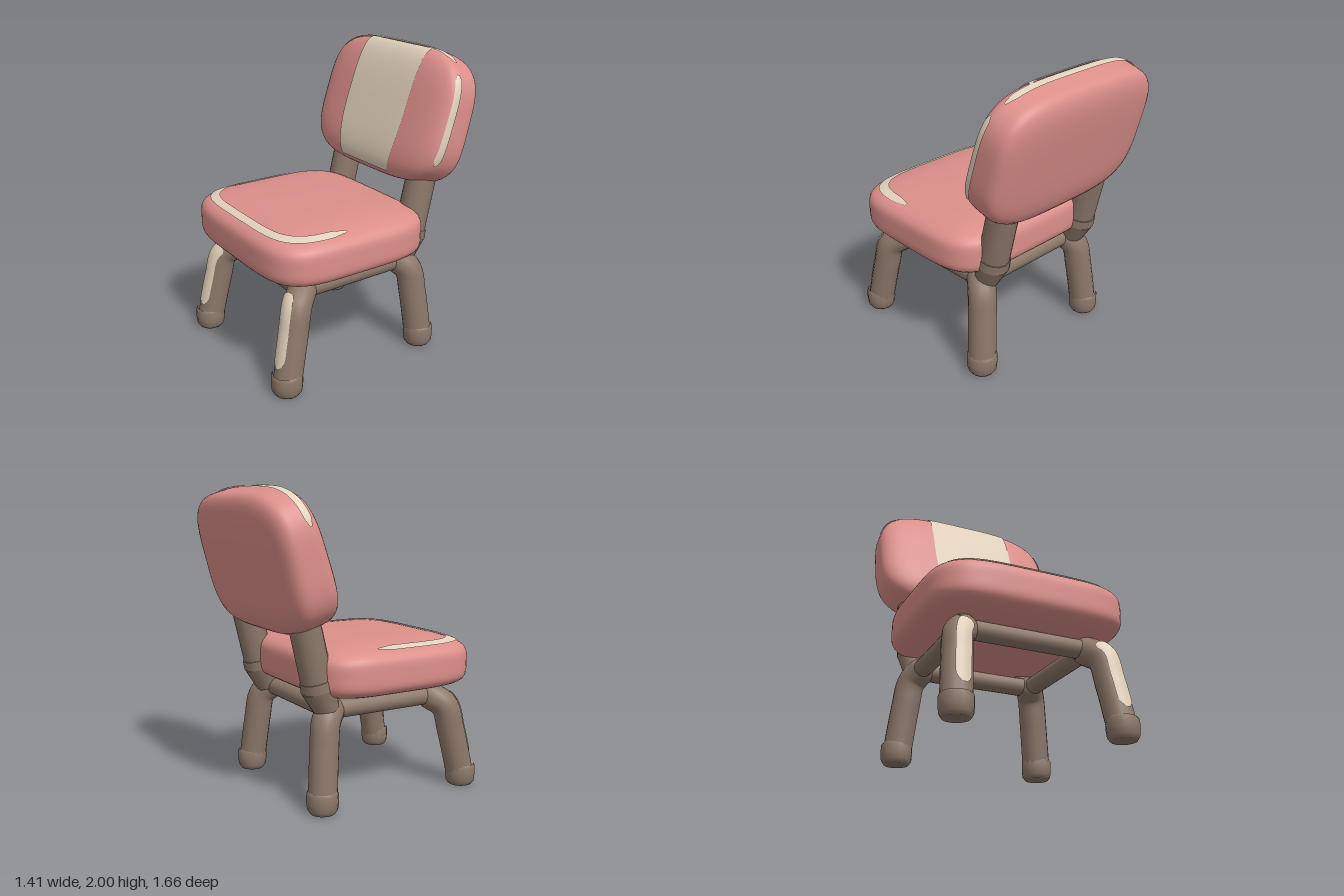
import * as THREE from 'three';
import { mergeVertices } from 'three/addons/utils/BufferGeometryUtils.js';

const mat = (name, color, side = THREE.FrontSide) => {
  const m = new THREE.MeshStandardMaterial({ color, side });
  m.name = name;
  return m;
};

// Surface over a grid: fn(u, v) -> Vector3 with u, v in 0..1, lifted along its normals
function surface(nu, nv, fn, lift = 0, closed = false) {
  const pos = [], idx = [];
  for (let j = 0; j <= nv; j++) {
    for (let i = 0; i <= nu; i++) pos.push(...fn(i / nu, j / nv).toArray());
  }
  for (let j = 0; j < nv; j++) {
    for (let i = 0; i < nu; i++) {
      const a = j * (nu + 1) + i, b = a + 1, c = a + nu + 1, d = c + 1;
      idx.push(a, b, d, a, d, c);
    }
  }
  let g = new THREE.BufferGeometry();
  g.setAttribute('position', new THREE.Float32BufferAttribute(pos, 3));
  g.setIndex(idx);
  if (closed) g = mergeVertices(g, 1e-5);
  g.computeVertexNormals();
  if (lift) {
    const p = g.attributes.position, n = g.attributes.normal;
    for (let i = 0; i < p.count; i++) {
      p.setXYZ(i, p.getX(i) + n.getX(i) * lift, p.getY(i) + n.getY(i) * lift, p.getZ(i) + n.getZ(i) * lift);
    }
  }
  return g;
}

// Point on a unit superellipse in the direction of an angle
const superPoint = (angle, power) => {
  const c = Math.cos(angle), s = Math.sin(angle);
  const k = Math.pow(Math.abs(c) ** power + Math.abs(s) ** power, -1 / power);
  return [c * k, s * k];
};

// Padded cushion: outline in XY, padding along Z
function cushion({ a, b, h, p, m, crown, taper }) {
  const place = (x, y, z, rho) => new THREE.Vector3(
    a * x, b * y, h * z * (1 - taper * y) + (z > 0 ? crown * (1 - rho * rho) : 0));
  const point = (alpha, beta) => {
    const [ox, oy] = superPoint(alpha, p), [rho, z] = superPoint(beta, m);
    return place(ox * rho, oy * rho, z, rho);
  };
  // Front face point above normalised x, y
  const front = (x, y) => {
    const rho = Math.min(1, (Math.abs(x) ** p + Math.abs(y) ** p) ** (1 / p));
    return place(x, y, (1 - rho ** m) ** (1 / m), rho);
  };
  const body = () => surface(96, 40, (u, v) => point(u * Math.PI * 2, (v - 0.5) * Math.PI), 0, true);
  // Piping line along the rim with narrowed ends
  const rim = (a0, a1, beta, half) => surface(90, 4, (u, v) => {
    const w = half * Math.min(1, 0.3 + 12 * Math.min(u, 1 - u));
    return point(a0 + (a1 - a0) * u, beta + (v * 2 - 1) * w);
  }, 0.007);
  return { front, body, rim };
}

export function createModel() {
  const pink = mat('pink padding', 0xdc8f8a);
  const cream = mat('cream trim', 0xe3d2bc, THREE.DoubleSide);
  const brown = mat('brown frame', 0x8c7769);

  const model = new THREE.Group();
  model.name = 'chair';
  const chair = new THREE.Group();
  chair.name = 'turnedChair';
  chair.rotation.y = -0.11;
  model.add(chair);

  const add = (parent, name, geometry, material) => {
    const mesh = new THREE.Mesh(geometry, material);
    mesh.name = name;
    parent.add(mesh);
    return mesh;
  };
  const group = (name) => {
    const g = new THREE.Group();
    g.name = name;
    chair.add(g);
    return g;
  };
  const V = (x, y, z) => new THREE.Vector3(x, y, z);

  // Seat
  const seat = group('seat');
  seat.position.set(-0.003, 0.85, 0.172);
  seat.rotation.x = -Math.PI / 2;
  const seatPad = cushion({ a: 0.657, b: 0.588, h: 0.167, p: 4.7, m: 4.6, crown: 0.022, taper: 0 });
  add(seat, 'seatCushion', seatPad.body(), pink);
  add(seat, 'seatPiping', seatPad.rim(-3.52, -0.18, 0.785, 0.052), cream);

  // Backrest
  const back = group('backrest');
  back.position.set(-0.018, 1.548, -0.545);
  back.rotation.x = -0.29;
  const backPad = cushion({ a: 0.66, b: 0.446, h: 0.176, p: 3.7, m: 4.4, crown: 0.012, taper: 0.12 });
  add(back, 'backCushion', backPad.body(), pink);
  add(back, 'topPiping', backPad.rim(0.8, 2.7, 0.32, 0.14), cream);
  add(back, 'sidePiping', backPad.rim(-0.58, 0.65, 0.42, 0.11), cream);
  add(back, 'centreStripe', surface(24, 48, (u, v) => {
    const y = Math.sin(-1.13 + v * 2.46);
    const half = (0.308 - 0.07 * Math.max(0, -y) ** 2) / 0.66;
    return backPad.front((u * 2 - 1) * half + 0.045, y);
  }, 0.007), cream);

  // Straight pipe between two points
  const pipe = (name, from, to, r0, r1) => {
    const dir = to.clone().sub(from);
    const mesh = add(chair, name, new THREE.CylinderGeometry(r1, r0, dir.length(), 16), brown);
    mesh.position.copy(from).addScaledVector(dir, 0.5);
    mesh.quaternion.setFromUnitVectors(V(0, 1, 0), dir.normalize());
  };

  // Rails under the seat
  const railY = 0.62, fx = 0.42, fz = 0.5, bx = 0.41, bz = -0.28;
  pipe('frontRail', V(-fx, railY, fz), V(fx, railY, fz), 0.062, 0.062);
  pipe('backRail', V(-bx, railY, bz), V(bx, railY, bz), 0.062, 0.062);

  const legRadius = 0.093;
  const footProfile = [[0, 0], [0.08, 0], [0.097, 0.025], [0.102, 0.07], [0.101, 0.125], [0.09, 0.14]]
    .map(([r, y]) => new THREE.Vector2(r, y));
  const legPaths = {
    front: [[0.525, 0.06, 0.685], [0.5, 0.38, 0.615], [0.478, 0.55, 0.572], [fx, 0.612, fz]],
    back: [[0.508, 0.06, -0.39], [0.474, 0.38, -0.358], [0.45, 0.55, -0.332], [bx, 0.612, bz]],
  };

  for (const side of [-1, 1]) {
    const hand = side > 0 ? 'Left' : 'Right';
    pipe('sideRail' + hand, V(side * bx, railY, bz), V(side * fx, railY, fz), 0.062, 0.062);

    // Bent legs with feet
    for (const [end, path] of Object.entries(legPaths)) {
      const curve = new THREE.CatmullRomCurve3(path.map(([x, y, z]) => V(side * x, y, z)));
      add(chair, end + 'Leg' + hand, new THREE.TubeGeometry(curve, 24, legRadius, 16), brown);
      const knee = add(chair, end + 'Knee' + hand, new THREE.SphereGeometry(legRadius, 16, 10), brown);
      knee.position.copy(curve.getPoint(1));
      const foot = add(chair, end + 'Foot' + hand, new THREE.LatheGeometry(footProfile, 14), brown);
      foot.position.set(side * path[0][0], 0, path[0][2]);

      // Cream strip down the front of each front leg
      if (end === 'front') {
        add(chair, 'legStrip' + hand, surface(8, 28, (u, v) => {
          const t = 0.11 + 0.68 * v;
          const width = 0.55 * Math.sqrt(Math.min(1, 0.08 + 11 * Math.min(v, 1 - v)));
          const theta = 0.1 + (u * 2 - 1) * width;
          const tangent = curve.getTangent(t);
          const out = V(Math.sin(theta), 0, Math.cos(theta));
          out.addScaledVector(tangent, -out.dot(tangent)).normalize();
          return curve.getPoint(t).addScaledVector(out, legRadius);
        }, 0.006), cream);
      }
    }

    // Back posts with a tapered socket and collar
    const px = side * 0.412 - 0.018;
    pipe('post' + hand, V(px, 0.79, -0.377), V(px, 1.22, -0.478), 0.102, 0.1);
    pipe('postCollar' + hand, V(px, 0.765, -0.371), V(px, 0.825, -0.386), 0.112, 0.108);
    pipe('postSocket' + hand, V(px, 0.62, -0.31), V(px, 0.775, -0.374), 0.08, 0.11);
  }
  return model;
}
